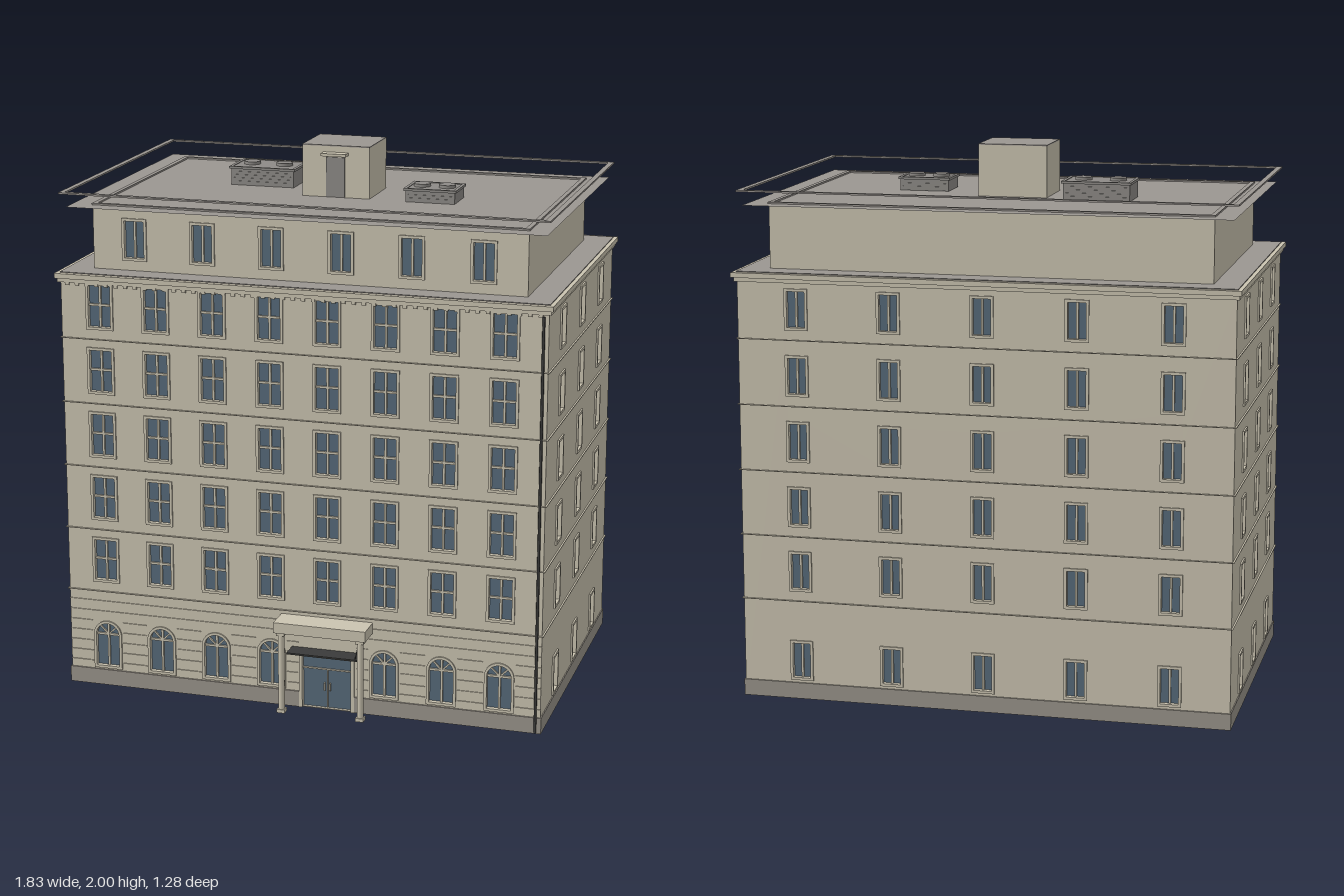
import * as THREE from 'three';
import { mergeGeometries } from 'three/addons/utils/BufferGeometryUtils.js';

const mat = (name, color, side = THREE.FrontSide) => {
  const m = new THREE.MeshStandardMaterial({ color, side });
  m.name = name;
  return m;
};

// Outline of an opening: a rectangle, or one with a round arch on top
function outline(Type, u, y0, w, h, arched) {
  const p = new Type();
  const r = w / 2, top = y0 + h;
  p.moveTo(u - r, y0);
  p.lineTo(u + r, y0);
  if (arched) {
    p.lineTo(u + r, top - r);
    p.absarc(u, top - r, r, 0, Math.PI, false);
  } else {
    p.lineTo(u + r, top);
    p.lineTo(u - r, top);
  }
  p.closePath();
  return p;
}
const extrude = (shape, depth, z = 0) =>
  new THREE.ExtrudeGeometry(shape, { depth, bevelEnabled: false, curveSegments: 8 }).translate(0, 0, z);

// Box given by its limits
const box = (x0, x1, y0, y1, z0, z1) =>
  new THREE.BoxGeometry(x1 - x0, y1 - y0, z1 - z0).translate((x0 + x1) / 2, (y0 + y1) / 2, (z0 + z1) / 2);

// Horizontal rectangular ring of band width t
function ring(x0, x1, z0, z1, t, y0, y1) {
  const cx = (x0 + x1) / 2;
  const s = outline(THREE.Shape, cx, -z1, x1 - x0, z1 - z0);
  s.holes.push(outline(THREE.Path, cx, -z1 + t, x1 - x0 - 2 * t, z1 - z0 - 2 * t));
  return extrude(s, y1 - y0).rotateX(-Math.PI / 2).translate(0, y0, 0);
}

export function createModel() {
  const model = new THREE.Group();
  const stone = mat('beige stone', 0xcbc4b1, THREE.DoubleSide);
  const roof = mat('roof grey', 0x9b9691, THREE.DoubleSide);
  const base = mat('plinth grey', 0x9a948b);
  const metal = mat('unit grey', 0x8e8b87);
  const glass = mat('blue glass', 0x566a7a, THREE.DoubleSide);
  const dark = mat('dark metal', 0x3b3b3a);

  const add = (parent, name, material, ...geos) => {
    const mesh = new THREE.Mesh(mergeGeometries(geos.map(g => (g.index ? g.toNonIndexed() : g))), material);
    mesh.name = name;
    parent.add(mesh);
    return mesh;
  };

  // Wall panel with real openings, lined surrounds, panes and glazing bars
  function facade(name, width, y0, y1, openings) {
    const g = new THREE.Group();
    g.name = name;
    const wall = outline(THREE.Shape, 0, y0, width, y1 - y0);
    const panes = [], trim = [], T = 0.02;
    for (const { u, y, w, h, arched, transom, door } of openings) {
      wall.holes.push(outline(THREE.Path, u, y, w, h, arched));
      panes.push(new THREE.ShapeGeometry(outline(THREE.Shape, u, y, w, h, arched), 8).translate(0, 0, -0.012));
      if (door) continue;
      const s = outline(THREE.Shape, u, y - 0.006, w + 0.012, h + 0.012, arched);
      s.holes.push(outline(THREE.Path, u, y + 0.004, w - 0.008, h - 0.008, arched));
      trim.push(extrude(s, T + 0.006, -T));
      trim.push(box(u - 0.004, u + 0.004, y, y + h - 0.003, -0.014, -0.004));
      if (transom) trim.push(box(u - w / 2, u + w / 2, y + h * transom - 0.004, y + h * transom + 0.004, -0.014, -0.005));
      if (arched) for (const a of [-0.8, 0.8])
        trim.push(box(-0.003, 0.003, 0, w / 2 - 0.002, -0.014, -0.006).rotateZ(a).translate(u, y + h - w / 2, 0));
    }
    add(g, 'wall', stone, extrude(wall, T, -T));
    add(g, 'windowPanes', glass, ...panes);
    add(g, 'windowFrames', stone, ...trim);
    model.add(g);
    return g;
  }

  const X = 0.8975, ZF = 0.54, ZB = -0.62, ZC = -0.04, TOP = 1.56;
  const rows = [0, 1, 2, 3, 4].map(i => 0.412 + i * 0.241);
  const cols = [...Array(8).keys()].map(i => -0.75 + i * 0.2136);
  const doorCol = 4;

  // Front: arched ground floor with entrance, then five floors of windows
  const frontOpen = cols.map((u, i) => i === doorCol
    ? { u: 0.1025, y: 0.003, w: 0.185, h: 0.197, door: true }
    : { u, y: 0.072, w: 0.098, h: 0.175, arched: true, transom: 0.72 });
  for (const y of rows) for (const u of cols) frontOpen.push({ u, y, w: 0.092, h: 0.162, transom: 0.52 });
  facade('frontFacade', 2 * X, 0, TOP, frontOpen).position.z = ZF;

  // Sides and back share plain two-pane windows
  const plain = us => [0.076, ...rows].flatMap(y => us.map(u => ({ u, y, w: 0.074, h: 0.138 })));
  const sideOpen = plain([-0.344, 0, 0.342]);
  for (const s of [1, -1]) {
    const side = facade(s > 0 ? 'leftFacade' : 'rightFacade', 1.158, 0, TOP, sideOpen);
    side.position.set(s * X, 0, ZC);
    side.rotation.y = s * Math.PI / 2;
  }
  const back = facade('backFacade', 2 * X, 0, TOP, plain([-0.68, -0.34, 0, 0.34, 0.68]));
  back.position.z = ZB;
  back.rotation.y = Math.PI;

  // Plinth, interrupted at the door
  const P = X + 0.004;
  add(model, 'plinth', base,
    box(-P, 0.005, 0, 0.06, ZF, ZF + 0.006), box(0.2, P, 0, 0.06, ZF, ZF + 0.006),
    box(-P, P, 0, 0.06, ZB - 0.006, ZB),
    box(-P, -X, 0, 0.06, ZB, ZF), box(X, P, 0, 0.06, ZB, ZF));

  // Thin floor lines and ground floor coursing
  const lines = rows.map((y, i) => ring(-X - 0.006, X + 0.006, ZB - 0.006, ZF + 0.006, 0.01, 0.368 + i * 0.241, 0.371 + i * 0.241));
  for (let k = 0; k < 7; k++) {
    const y = 0.09 + k * 0.04;
    if (y > 0.26) { lines.push(box(-X, X, y, y + 0.002, ZF, ZF + 0.004)); continue; }
    for (let i = -1; i < 8; i++) {
      const a = i < 0 ? -X : cols[i] + (i === doorCol ? 0.11 : 0.06);
      const b = i > 6 ? X : cols[i + 1] - (i + 1 === doorCol ? 0.11 : 0.06);
      lines.push(box(a, b, y, y + 0.002, ZF, ZF + 0.004));
    }
  }
  add(model, 'floorLines', stone, ...lines);

  // Cornice, dentils and terrace
  add(model, 'cornice', stone,
    ring(-0.907, 0.907, -0.63, 0.55, 0.04, 1.54, 1.556),
    ring(-0.915, 0.915, -0.64, 0.56, 0.04, 1.555, 1.573));
  const dentils = [];
  for (let i = 0; i < 48; i++) {
    const x = -0.87 + i * 0.037;
    dentils.push(box(x - 0.007, x + 0.007, 1.53, 1.541, ZF, ZF + 0.008));
  }
  add(model, 'dentils', stone, ...dentils);
  add(model, 'terrace', roof, box(-0.9, 0.9, 1.566, 1.576, -0.62, 0.54));

  // Set-back top floor
  const attic = facade('atticFront', 1.605, 1.57, 1.808,
    [0, 1, 2, 3, 4, 5].map(i => ({ u: -0.645 + i * 0.258, y: 1.618, w: 0.082, h: 0.143 })));
  attic.position.z = 0.45;
  add(model, 'atticWalls', stone,
    box(-0.8025, -0.7825, 1.57, 1.808, -0.53, 0.449), box(0.7825, 0.8025, 1.57, 1.808, -0.53, 0.449),
    box(-0.8, 0.8, 1.57, 1.808, -0.53, -0.51));

  // Overhanging sheet roof, coping and the thin perimeter rail above
  add(model, 'roofSheet', roof, new THREE.PlaneGeometry(1.76, 1.12).rotateX(-Math.PI / 2).translate(0, 1.809, -0.042));
  add(model, 'roofCoping', roof, ring(-0.805, 0.805, -0.535, 0.452, 0.017, 1.806, 1.815));
  add(model, 'perimeterRail', roof, ring(-0.898, 0.895, -0.62, 0.54, 0.02, 1.859, 1.865));

  // Stair house on the roof
  add(model, 'stairHouse', stone, box(-0.13, 0.125, 1.809, 1.996, -0.155, 0.07));
  add(model, 'stairHouseRoof', roof, box(-0.13, 0.125, 1.996, 2, -0.155, 0.07));
  add(model, 'stairHouseDoor', metal, box(-0.038, 0.032, 1.81, 1.957, 0.07, 0.075));
  add(model, 'stairHouseCanopy', stone, box(-0.05, 0.045, 1.965, 1.975, 0.07, 0.108));

  // Rooftop cooling units with louvres and fans
  for (const [x0, x1, z0, z1, top, fans] of [
    [-0.447, -0.203, -0.217, -0.053, 1.878, [-0.39, -0.263]],
    [0.263, 0.447, -0.057, 0.083, 1.858, [0.308, 0.402]]]) {
    const zc = (z0 + z1) / 2;
    const parts = [box(x0, x1, 1.81, top, z0, z1), ring(x0 - 0.006, x1 + 0.006, z0 - 0.006, z1 + 0.006, 0.012, top - 0.007, top + 0.002)];
    for (let y = 1.822; y < top - 0.015; y += 0.012) parts.push(box(x0 + 0.01, x1 - 0.01, y, y + 0.004, z0 - 0.003, z1 + 0.003));
    for (const x of fans) parts.push(new THREE.CylinderGeometry(0.031, 0.031, 0.012, 20).translate(x, top + 0.005, zc));
    add(model, 'coolingUnit', metal, ...parts);
  }

  // Entrance canopy on two posts
  add(model, 'entranceCanopy', stone, box(-0.07, 0.275, 0.315, 0.355, ZF, 0.64));
  for (const x of [-0.046, 0.252])
    add(model, 'canopyPost', stone, new THREE.CylinderGeometry(0.012, 0.012, 0.31, 12).translate(x, 0.16, 0.62),
      box(x - 0.015, x + 0.015, 0.303, 0.316, 0.605, 0.635), box(x - 0.015, x + 0.015, 0.005, 0.018, 0.605, 0.635));

  // Double door with frame, bars and handles
  add(model, 'doorFrame', stone,
    box(-0.002, 0.01, 0, 0.212, ZF - 0.02, ZF + 0.008), box(0.195, 0.207, 0, 0.212, ZF - 0.02, ZF + 0.008),
    box(-0.002, 0.207, 0.2, 0.212, ZF - 0.02, ZF + 0.008),
    box(0.01, 0.195, 0.15, 0.155, ZF - 0.014, ZF - 0.006),
    box(0.1, 0.105, 0.003, 0.15, ZF - 0.014, ZF - 0.006),
    box(0.09, 0.094, 0.07, 0.1, ZF - 0.012, ZF), box(0.111, 0.115, 0.07, 0.1, ZF - 0.012, ZF));

  // Thin door hood and its tie rod
  add(model, 'doorHood', dark, box(-0.03, 0.235, 0.226, 0.232, ZF, 0.61));
  const tie = new THREE.LineCurve3(new THREE.Vector3(0.227, 0.285, ZF), new THREE.Vector3(0.227, 0.23, 0.605));
  add(model, 'hoodTieRod', dark, new THREE.TubeGeometry(tie, 1, 0.002, 6));

  // Rainwater pipe at the front corner
  add(model, 'downpipe', dark, new THREE.CylinderGeometry(0.005, 0.005, 1.53, 10).translate(0.88, 0.768, ZF + 0.006));
  return model;
}
